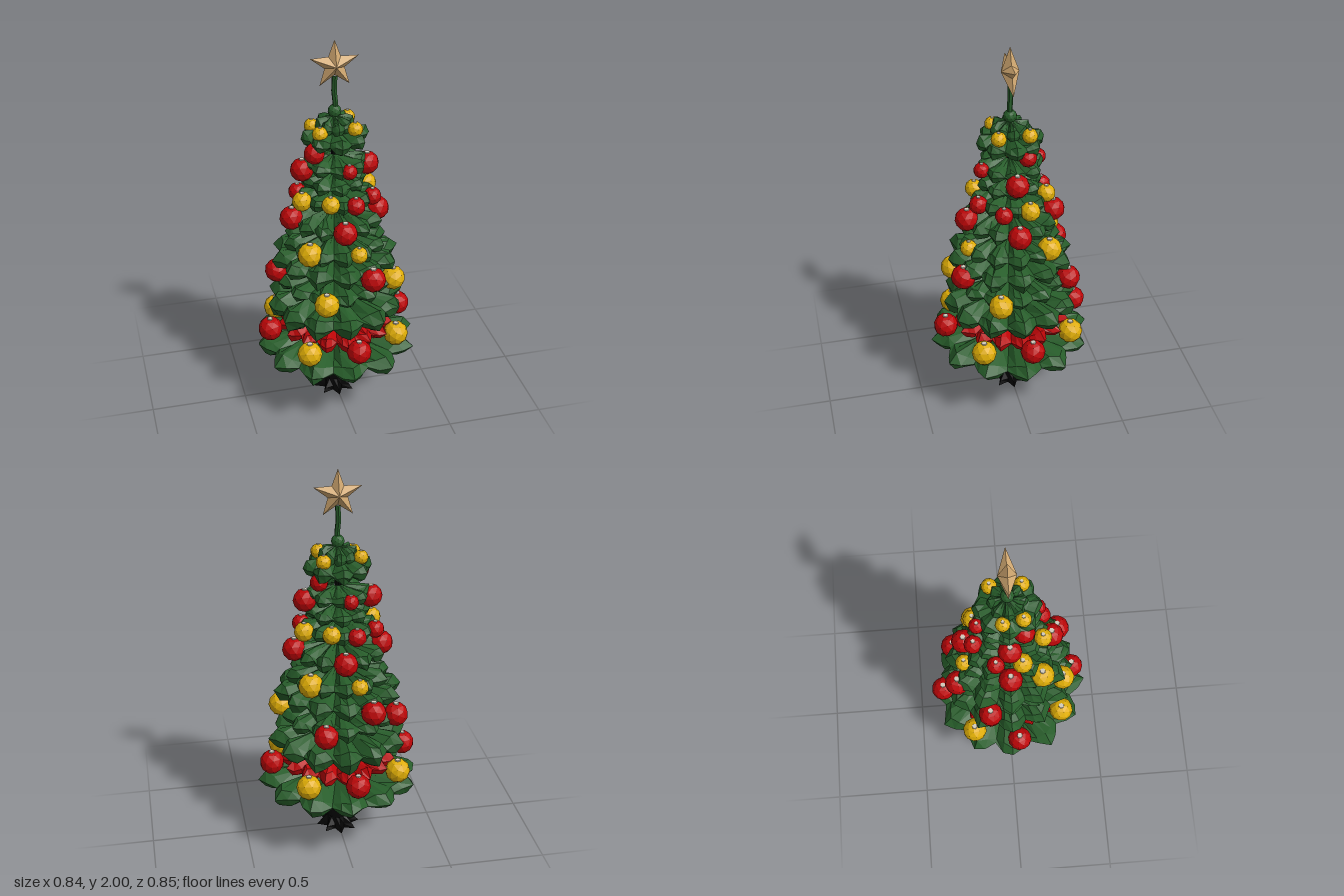
import * as THREE from 'three';

const mat = (name, hex) => {
  const m = new THREE.MeshStandardMaterial({ color: hex });
  m.name = name;
  return m;
};

// Faceted, low-poly normals
const facet = (g) => {
  const f = g.index ? g.toNonIndexed() : g;
  f.computeVertexNormals();
  return f;
};

// Repeatable wobble between -0.5 and 0.5
const wobble = (a, b, c) => {
  const s = Math.sin(a * 12.99 + b * 78.23 + c * 37.72) * 43758.55;
  return s - Math.floor(s) - 0.5;
};

// Ring of pointed, puffy lobes: a lathed section pinched between the lobes
function tierGeometry(R, lobes, h, seed) {
  const section = [[0.02, 0], [0.45 * R, -0.16 * h], [0.76 * R, -0.52 * h], [0.92 * R, -0.42 * h],
    [R, -0.02 * h], [0.9 * R, 0.38 * h], [0.6 * R, 0.48 * h], [0.02, 0.5 * h]];
  const steps = lobes * 4;
  const g = new THREE.LatheGeometry(section.map(p => new THREE.Vector2(...p)), steps);
  const pos = g.attributes.position;
  for (let i = 0; i <= steps; i++) {
    for (let j = 1; j < section.length - 1; j++) {
      const k = i * section.length + j;
      const s = i % steps;
      const point = [1, 0.5, 0, 0.5][s % 4];
      const puff = Math.abs(Math.cos(s * Math.PI / 4));
      const outer = section[j][0] / R;
      const r = section[j][0] * (1 - 0.16 * (1 - point) * outer) * (1 + 0.05 * wobble(s, j, seed));
      const a = i / steps * Math.PI * 2;
      const y = section[j][1] * (0.3 + 0.7 * puff) + h * 0.16 * wobble(s, j + 9, seed);
      pos.setXYZ(k, Math.sin(a) * r, y, Math.cos(a) * r);
    }
  }
  return facet(g);
}

// Five-pointed star, raised to a ridge at the centre of both faces
function starGeometry(R, r, depth) {
  const v = [];
  const pt = (i) => {
    const a = Math.PI / 2 + i * Math.PI / 5;
    const d = i % 2 ? r : R;
    return [Math.cos(a) * d, Math.sin(a) * d, 0];
  };
  for (let i = 0; i < 10; i++) {
    v.push(...pt(i), ...pt(i + 1), 0, 0, depth);
    v.push(...pt(i + 1), ...pt(i), 0, 0, -depth);
  }
  const g = new THREE.BufferGeometry();
  g.setAttribute('position', new THREE.Float32BufferAttribute(v, 3));
  return facet(g);
}

export function createModel() {
  const tree = new THREE.Group();
  tree.name = 'decoratedTree';
  const green = mat('needleGreen', 0x275d2a);
  const red = mat('ornamentRed', 0xbc0507);
  const gold = mat('ornamentGold', 0xdfad05);
  const black = mat('trunkBlack', 0x030303);
  const tan = mat('starTan', 0xd3aa72);
  const silver = mat('capSilver', 0xd2cbbc);

  const add = (name, geo, material, x = 0, y = 0, z = 0, parent = tree) => {
    const m = new THREE.Mesh(geo, material);
    m.name = name;
    m.position.set(x, y, z);
    parent.add(m);
  };

  // Flared trunk base with eight roots
  const base = new THREE.LatheGeometry(
    [[0, 0], [0.114, 0], [0.095, 0.022], [0.055, 0.06], [0.047, 0.11], [0.046, 0.19]]
      .map(p => new THREE.Vector2(...p)), 16);
  const bp = base.attributes.position;
  for (let i = 0; i < bp.count; i++) {
    const x = bp.getX(i), z = bp.getZ(i);
    const spread = Math.min(1, Math.max(0, (Math.hypot(x, z) - 0.046) / 0.06));
    const valley = Math.floor(i / 6) % 2;
    const k = 1 - 0.42 * spread * valley;
    bp.setXYZ(i, x * k, bp.getY(i), z * k);
  }
  add('trunkBase', facet(base), black);
  add('lowerStem', facet(new THREE.CylinderGeometry(0.04, 0.046, 0.16, 8)), green, 0, 0.27, 0);
  add('innerTrunk', facet(new THREE.CylinderGeometry(0.015, 0.038, 1.2, 8)), black, 0, 0.94, 0);

  // Branch tiers: height, radius, lobes, thickness
  const tiers = [
    [0.322, 0.425, 12, 0.115], [0.565, 0.36, 12, 0.14], [0.695, 0.3, 12, 0.095],
    [0.84, 0.33, 12, 0.115], [0.925, 0.265, 12, 0.1], [1.06, 0.245, 12, 0.1],
    [1.19, 0.2, 8, 0.08], [1.27, 0.165, 8, 0.075], [1.37, 0.172, 8, 0.075],
    [1.505, 0.172, 8, 0.09], [1.565, 0.1, 8, 0.09],
  ];
  tiers.forEach(([y, R, n, h], i) =>
    add('branchTier' + (i + 1), tierGeometry(R, n, h, i + 1), green, 0, y, 0));
  add('redGarland', tierGeometry(0.31, 16, 0.105, 20), red, 0, 0.44, 0);

  // Crown knob and tip
  add('crownKnob', facet(new THREE.IcosahedronGeometry(0.034, 1)), green, 0, 1.635, 0);
  const tipPath = new THREE.CatmullRomCurve3([[0, 1.6, 0], [0.003, 1.68, 0.002],
    [-0.002, 1.74, -0.002], [0.001, 1.82, 0]].map(p => new THREE.Vector3(...p)));
  add('crownTip', facet(new THREE.TubeGeometry(tipPath, 8, 0.014, 6)), green);

  // Star topper
  add('starTopper', starGeometry(0.126, 0.052, 0.045), tan, 0, 1.874, 0);

  // Hanging balls: colour, x, y, z, radius, number of copies around the trunk
  const balls = [
    [red, 0.04, 0.445, 0.357, 0.064, 4], [gold, -0.2, 0.418, 0.28, 0.065, 4],
    [gold, -0.11, 0.705, 0.285, 0.064, 1], [gold, 0.285, 0.705, 0.11, 0.064, 1],
    [red, -0.285, 0.705, -0.11, 0.064, 1], [red, 0.11, 0.705, -0.285, 0.064, 1],
    [red, 0.133, 0.812, 0.272, 0.065, 2],
    [gold, -0.167, 0.94, 0.167, 0.064, 2], [gold, 0.07, 0.94, 0.23, 0.044, 2],
    [red, 0, 1.07, 0.224, 0.062, 4],
    [gold, -0.182, 1.19, 0.062, 0.051, 2], [gold, -0.062, 1.21, 0.172, 0.047, 2],
    [red, 0.065, 1.19, 0.175, 0.048, 2], [red, 0.178, 1.18, 0.07, 0.046, 2],
    [red, 0.167, 1.335, 0, 0.06, 2], [red, 0.037, 1.37, 0.152, 0.04, 2],
    [red, -0.12, 1.45, 0.072, 0.053, 1], [red, 0.105, 1.45, -0.065, 0.046, 1],
    [gold, 0.085, 1.56, 0.075, 0.039, 1], [gold, -0.09, 1.55, 0.07, 0.039, 1],
    [gold, 0.085, 1.56, -0.08, 0.039, 1], [gold, -0.11, 1.555, -0.03, 0.037, 1],
  ];
  const ballGeo = facet(new THREE.IcosahedronGeometry(1, 1));
  const capGeo = facet(new THREE.CylinderGeometry(0.22, 0.26, 0.16, 6));
  for (const [color, x, y, z, r, copies] of balls) {
    for (let i = 0; i < copies; i++) {
      const a = i * Math.PI * 2 / copies;
      const c = Math.cos(a), s = Math.sin(a);
      const ornament = new THREE.Group();
      ornament.name = 'ornament';
      ornament.position.set(x * c + z * s, y, z * c - x * s);
      ornament.rotation.y = a + x * 9;
      ornament.scale.setScalar(r);
      add('ball', ballGeo, color, 0, 0, 0, ornament);
      add('cap', capGeo, silver, 0, 0.93, 0, ornament);
      tree.add(ornament);
    }
  }
  return tree;
}
